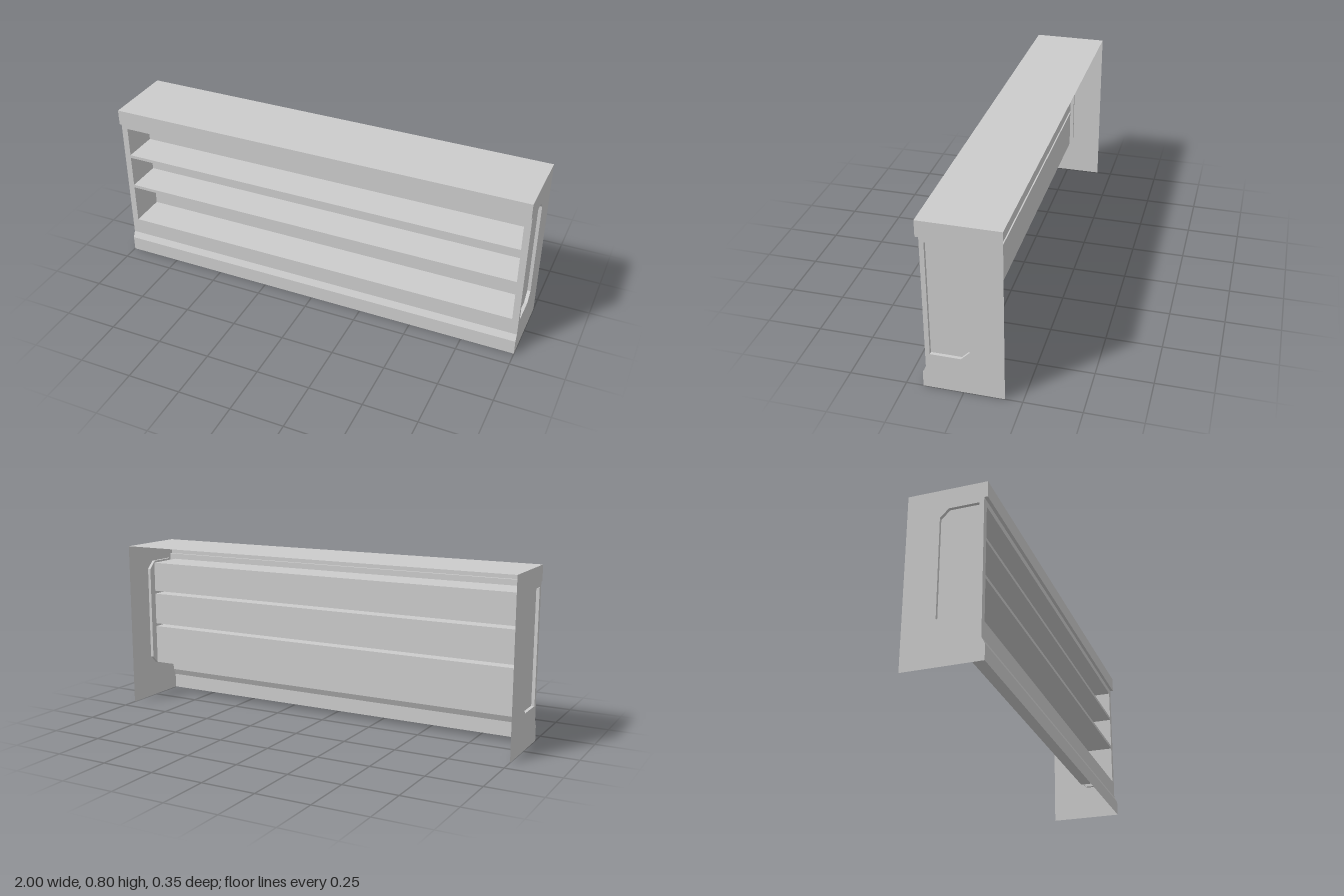
import * as THREE from 'three';

const material = new THREE.MeshStandardMaterial({ color: 0xcccccc, flatShading: true, side: THREE.DoubleSide });

// Thin sheet made of four-cornered faces, corners counter-clockwise from outside
function quads(list) {
  const pos = [];
  for (const [a, b, c, d] of list) pos.push(...a, ...b, ...c, ...a, ...c, ...d);
  const geo = new THREE.BufferGeometry();
  geo.setAttribute('position', new THREE.Float32BufferAttribute(pos, 3));
  geo.computeVertexNormals();
  return geo;
}

function add(parent, name, geo) {
  const mesh = new THREE.Mesh(geo, material);
  mesh.name = name;
  parent.add(mesh);
  return mesh;
}

const toPoints = (list) => list.map(([x, y]) => new THREE.Vector2(x, y));

// Flat panel in the XY plane whose openings are pushed back into pockets
function recessedPanel(name, outline, openings, depth) {
  const group = new THREE.Group();
  group.name = name;
  const shape = new THREE.Shape(toPoints(outline));
  openings.forEach((o) => shape.holes.push(new THREE.Path(toPoints(o))));
  add(group, name + 'Face', new THREE.ShapeGeometry(shape));
  for (const o of openings) {
    const pts = toPoints(o);
    if (THREE.ShapeUtils.isClockWise(pts)) pts.reverse();
    add(group, name + 'PocketBack', new THREE.ShapeGeometry(new THREE.Shape(pts))).position.z = -depth;
    add(group, name + 'PocketWalls', quads(pts.map((p, i) => {
      const q = pts[(i + 1) % pts.length];
      return [[p.x, p.y, 0], [p.x, p.y, -depth], [q.x, q.y, -depth], [q.x, q.y, 0]];
    })));
  }
  return group;
}

const rect = (x, y0, y1) => [[-x, y0], [x, y0], [x, y1], [-x, y1]];

export function createModel() {
  const model = new THREE.Group();
  model.name = 'shelfCounter';

  const lip = 0.175, face = 0.16;
  // Cross-section of the shell as [z, y], from the plinth up and over to the back
  const profile = [[lip, 0], [lip, 0.07], [face, 0.1], [face, 0.727], [lip, 0.727], [lip, 0.8], [-lip, 0.8]];
  const names = ['plinth', 'plinthSlope', null, 'lipUnderside', 'lipFront', 'counterTop'];

  // Full-width strips that follow the cross-section
  names.forEach((name, i) => {
    if (!name) return;
    const [z0, y0] = profile[i], [z1, y1] = profile[i + 1];
    add(model, name, quads([[[-1, y0, z0], [1, y0, z0], [1, y1, z1], [-1, y1, z1]]]));
  });

  // Front panel with three deep shelf niches
  const niches = [[0.18, 0.37], [0.385, 0.54], [0.555, 0.7]].map(([a, b]) => rect(0.97, a, b));
  const front = recessedPanel('frontShelves', rect(1, 0.1, 0.727), niches, 0.175);
  front.position.z = face;
  model.add(front);

  // Mirrored end walls, each with a shallow chamfered panel
  const inset = [[0.14, 0.17], [0.14, 0.706], [0.008, 0.706], [-0.03, 0.668], [-0.03, 0.209], [0.008, 0.17]];
  for (const side of [1, -1]) {
    const flip = (list) => list.map(([z, y]) => [-side * z, y]);
    const wall = recessedPanel(side > 0 ? 'leftEnd' : 'rightEnd', flip([...profile, [-lip, 0]]), [flip(inset)], 0.015);
    wall.rotation.y = side * Math.PI / 2;
    wall.position.x = side;
    model.add(wall);
  }
  return model;
}
